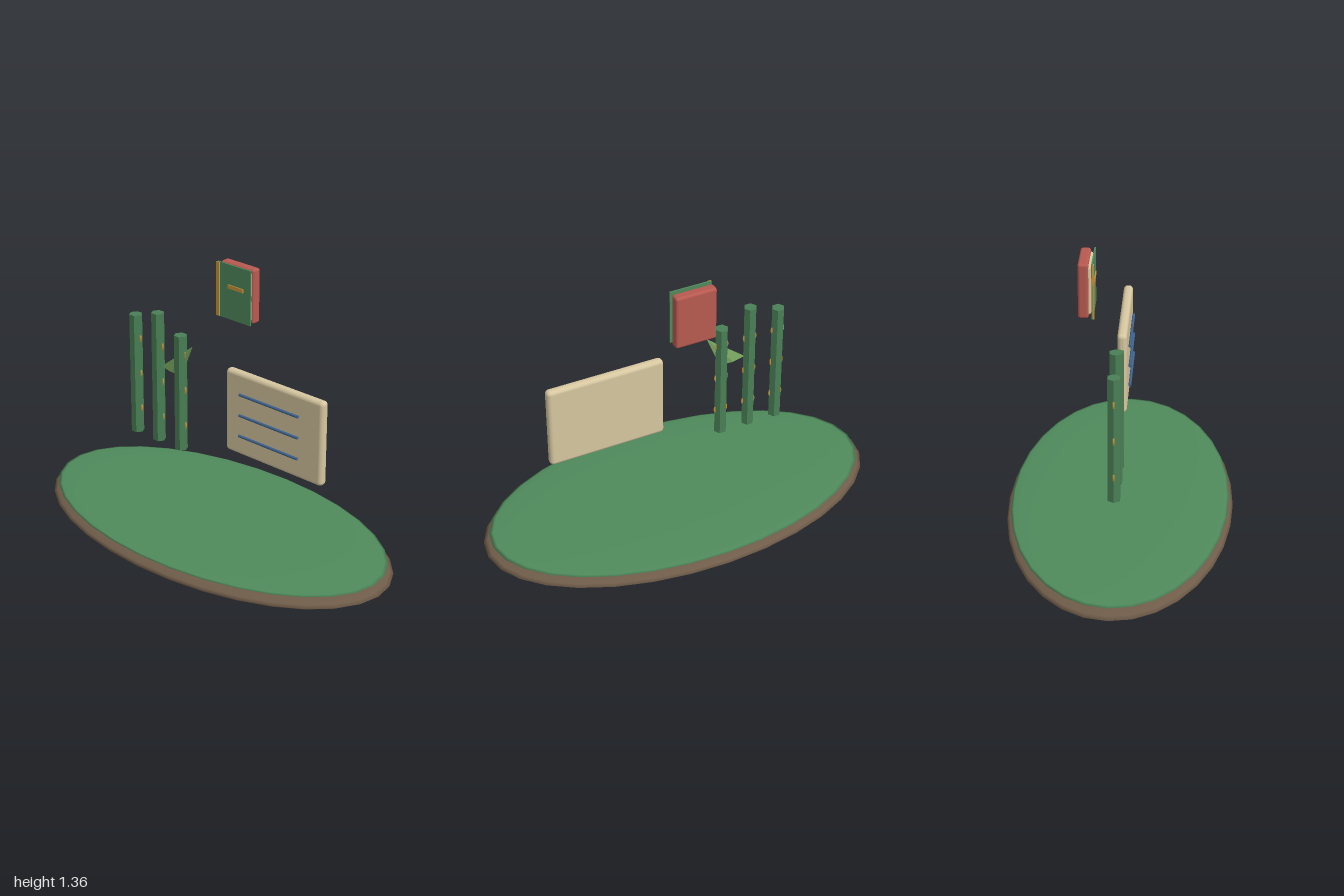
import * as THREE from 'three';
import { RoundedBoxGeometry } from 'three/addons/geometries/RoundedBoxGeometry.js';

const material = (color, flatShading = false) => new THREE.MeshStandardMaterial({ color, flatShading });
const GREEN = material(0x4f8a5b);
const STALK = material(0x4a8055, true);
const EARTH = material(0x6f5c49);
const LEAF = material(0x7ba862, true);
const CREAM = material(0xd6c7a0);
const GOLD = material(0xc8963c);
const RED = material(0xb85a50);
const BLUE = material(0x3f6490);

export function createModel() {
  const model = new THREE.Group();
  const add = (parent, name, geometry, mat, x, y, z) => {
    const mesh = new THREE.Mesh(geometry, mat);
    mesh.name = name;
    mesh.position.set(x, y, z);
    parent.add(mesh);
    return mesh;
  };
  const group = (name) => {
    const g = new THREE.Group();
    g.name = name;
    model.add(g);
    return g;
  };

  // Island: two flattened ellipsoids
  const island = group('island');
  const disc = new THREE.SphereGeometry(1, 32, 16);
  add(island, 'earth', disc, EARTH, 0, 0.06, 0).scale.set(1, 0.058, 0.545);
  add(island, 'grass', disc, GREEN, 0, 0.106, 0).scale.set(0.97, 0.018, 0.525);

  // Hexagonal stalks with upright node rings
  const bamboo = group('bamboo');
  const bottom = 0.395;
  [[-0.53, 1.015], [-0.38, 1.062], [-0.23, 0.988]].forEach(([x, top]) => {
    const stalk = new THREE.CylinderGeometry(0.032, 0.032, top - bottom, 6).rotateY(Math.PI / 6);
    add(bamboo, 'stalk', stalk, STALK, x, (top + bottom) / 2, 0);
    for (const y of [0.525, 0.71, 0.893]) {
      add(bamboo, 'node', new THREE.TorusGeometry(0.032, 0.005, 6, 18), GOLD, x, y, 0);
    }
  });

  // Leaf: a thin four-sided cone sheared towards its tip
  const leaf = new THREE.ConeGeometry(1, 1, 4);
  leaf.applyMatrix4(new THREE.Matrix4().set(
    0.067, 0.14, 0, -0.22,
    -0.006, 0.167, 0, 0.868,
    0, 0, 0.01, 0,
    0, 0, 0, 1));
  add(bamboo, 'leaf', leaf, LEAF, 0, 0, 0);

  // Board with three raised lines
  const board = group('board');
  add(board, 'panel', new RoundedBoxGeometry(0.585, 0.418, 0.046, 4, 0.02), CREAM, 0.373, 0.71, 0);
  for (const y of [0.605, 0.71, 0.815]) {
    const line = new THREE.CylinderGeometry(0.007, 0.007, 0.355, 10).rotateZ(Math.PI / 2);
    add(board, 'line', line, BLUE, 0.355, y, 0.033);
  }

  // Book: back block, pages, front cover and trim
  const book = group('book');
  add(book, 'backCover', new RoundedBoxGeometry(0.205, 0.268, 0.049, 3, 0.012), RED, 0, 1.223, -0.166);
  add(book, 'pages', new RoundedBoxGeometry(0.185, 0.24, 0.04, 3, 0.012), CREAM, 0, 1.223, -0.15);
  add(book, 'frontCover', new THREE.BoxGeometry(0.205, 0.27, 0.007), GREEN, 0, 1.223, -0.124);
  add(book, 'spineTrim', new THREE.BoxGeometry(0.018, 0.266, 0.008), GOLD, -0.097, 1.223, -0.119);
  add(book, 'coverBar', new THREE.BoxGeometry(0.094, 0.019, 0.006), GOLD, 0.012, 1.25, -0.119);

  return model;
}
